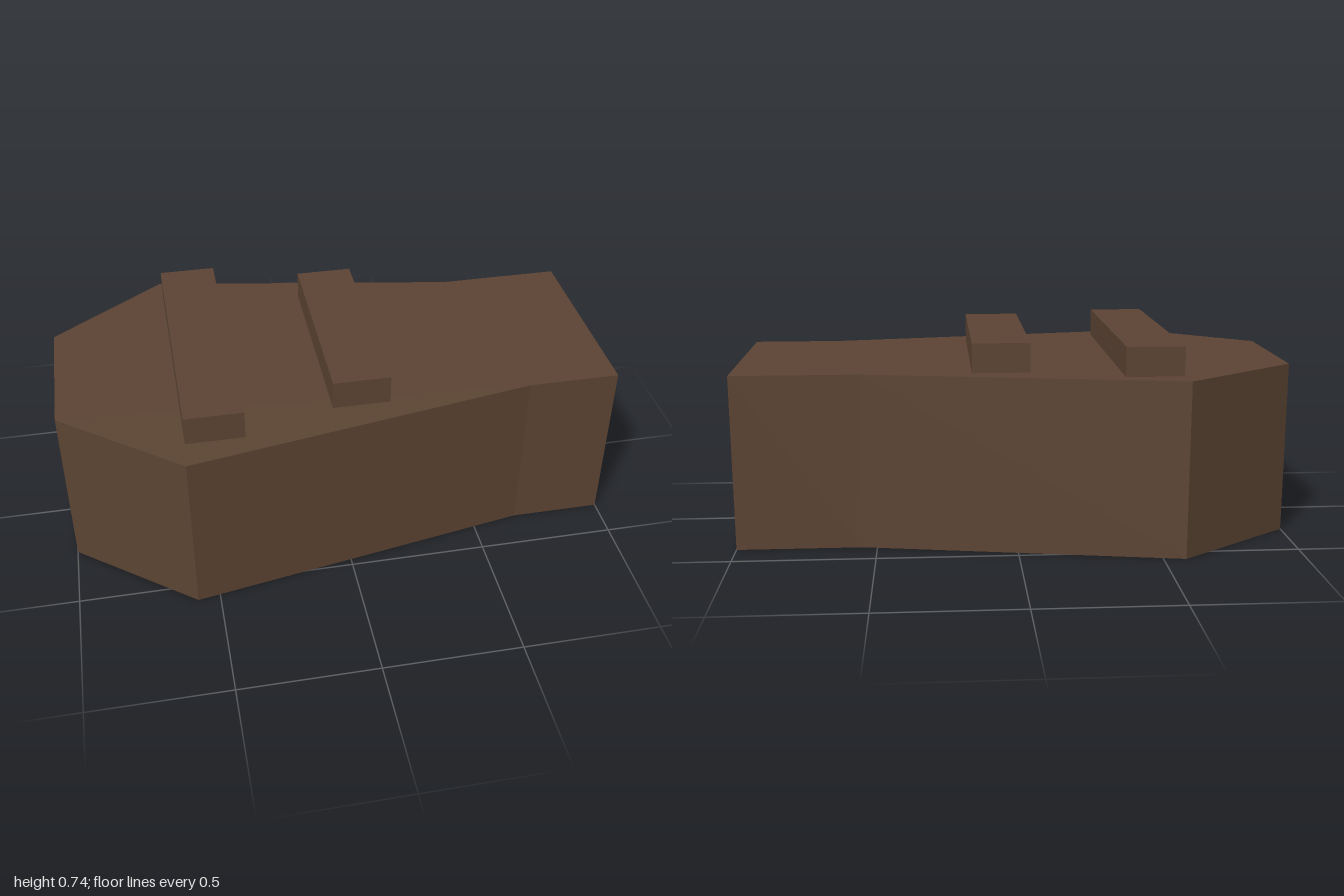
import * as THREE from 'three';

export function createModel() {
  const group = new THREE.Group();
  const darkWood = new THREE.MeshStandardMaterial({ color: 0x5c4433 });
  darkWood.name = 'darkWood';

  const bodyHeight = 0.63;
  const topHeight = 0.735;

  // Tapered chest: plan outline as [x, z], extruded upwards
  const outline = [
    [-1, 0.245], [-0.58, 0.573], [0.67, 0.355], [1, 0.355],
    [1, -0.378], [0.55, -0.378], [-0.58, -0.575], [-1, -0.268],
  ];
  const shape = new THREE.Shape(outline.map(([x, z]) => new THREE.Vector2(x, -z)));
  const bodyGeometry = new THREE.ExtrudeGeometry(shape, { depth: bodyHeight, bevelEnabled: false });
  bodyGeometry.rotateX(-Math.PI / 2);
  const body = new THREE.Mesh(bodyGeometry, darkWood);
  body.name = 'body';
  group.add(body);

  // Cross battens on the lid
  function addBatten(name, x0, x1, z0, z1) {
    const height = topHeight - bodyHeight;
    const batten = new THREE.Mesh(new THREE.BoxGeometry(x1 - x0, height, z1 - z0), darkWood);
    batten.position.set((x0 + x1) / 2, bodyHeight + height / 2, (z0 + z1) / 2);
    batten.name = name;
    group.add(batten);
  }
  addBatten('wideBatten', -0.573, -0.368, -0.484, 0.458);
  addBatten('narrowBatten', -0.048, 0.157, -0.38, 0.355);

  return group;
}
